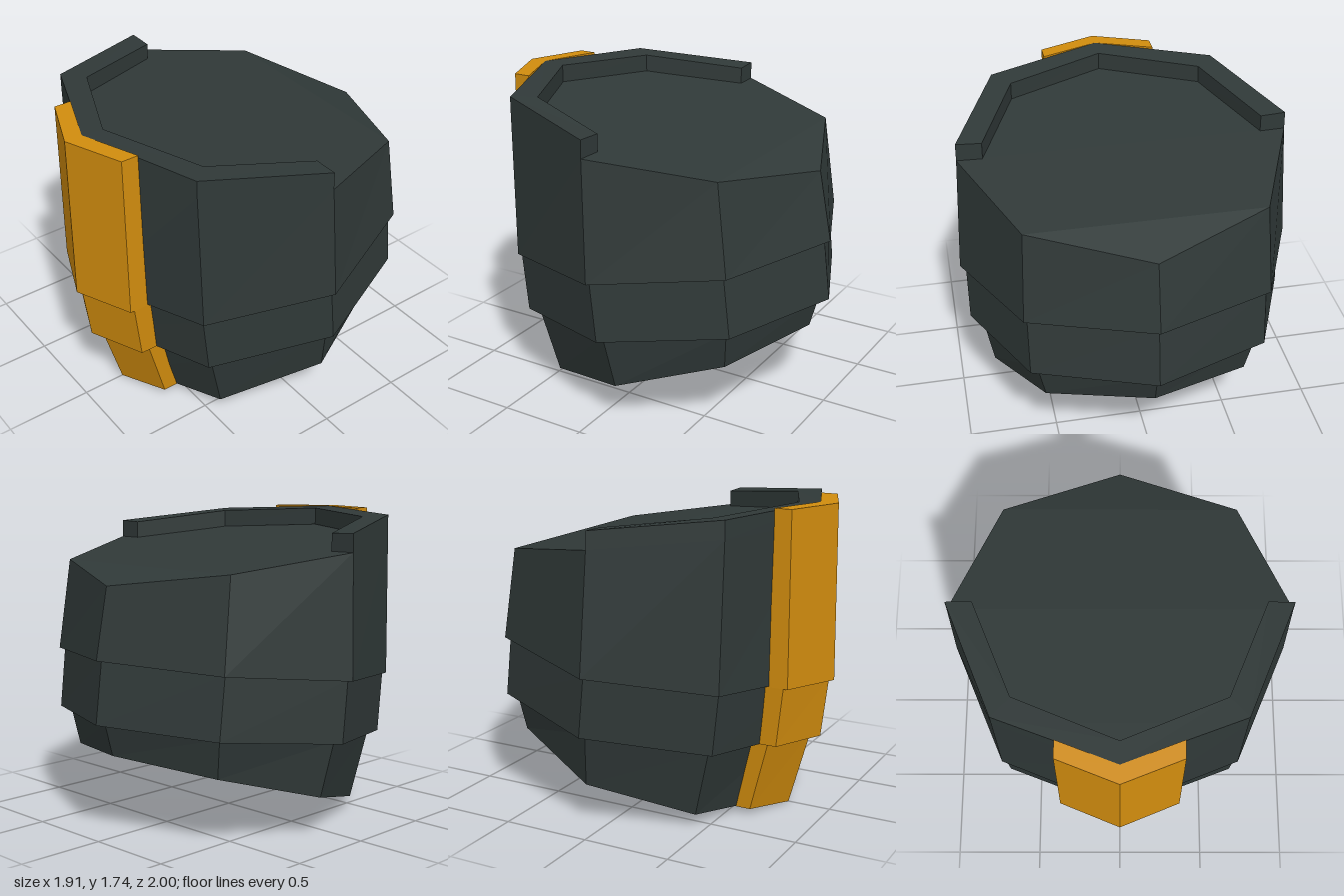
import * as THREE from 'three';

const dark = new THREE.MeshStandardMaterial({ color: 0x303938 });
dark.name = 'charcoal';
const amber = new THREE.MeshStandardMaterial({ color: 0xd18c0e });
amber.name = 'amber';

// Flat-shaded solid between two matching rings (counter-clockwise from above)
function loft(name, lower, upper, caps, material) {
  const pos = [];
  const face = (...p) => {
    for (let i = 1; i < p.length - 1; i++) pos.push(...p[0], ...p[i], ...p[i + 1]);
  };
  const n = lower.length;
  for (let i = 0; i < n; i++) {
    const j = (i + 1) % n;
    face(lower[i], lower[j], upper[j], upper[i]);
  }
  for (const c of caps) {
    face(...c.map((i) => upper[i]));
    face(...c.map((i) => lower[i]).reverse());
  }
  const g = new THREE.BufferGeometry();
  g.setAttribute('position', new THREE.Float32BufferAttribute(pos, 3));
  g.computeVertexNormals();
  const mesh = new THREE.Mesh(g, material);
  mesh.name = name;
  return mesh;
}

const flip = ([x, y, z]) => [-x, y, z];

// Octagon from five points: front, front diagonal, side, back diagonal, back
const octagon = (h) => [...h, ...h.slice(1, 4).reverse().map(flip)];
const octagonCaps = [[0, 1, 7], [1, 2, 6, 7], [2, 3, 5, 6], [3, 4, 5]];

// Symmetric curved band, outer and inner edges given from the centre outwards
const across = (h) => [...h.slice(1).reverse().map(flip), ...h];
const band = (outer, inner) => [...across(outer), ...across(inner).reverse()];
function bandCaps(n) {
  const caps = [];
  for (let i = 0; i < n / 2 - 1; i++) caps.push([i, i + 1, n - 2 - i, n - 1 - i]);
  return caps;
}

export function createModel() {
  const model = new THREE.Group();
  model.name = 'octagonalBarrel';

  // Three stacked tapering body sections, bottom to top
  const sections = {
    lowerBody: [
      [[0, 0.005, 0.66], [0.57, 0.07, 0.44], [0.805, 0.225, -0.11], [0.57, 0.388, -0.66], [0, 0.455, -0.89]],
      [[0, 0.44, 0.765], [0.615, 0.465, 0.54], [0.865, 0.54, -0.075], [0.615, 0.615, -0.69], [0, 0.64, -0.94]],
    ],
    middleBody: [
      [[0, 0.43, 0.825], [0.655, 0.46, 0.58], [0.925, 0.535, -0.075], [0.655, 0.61, -0.73], [0, 0.64, -1]],
      [[0, 0.775, 0.865], [0.655, 0.805, 0.615], [0.925, 0.88, -0.04], [0.655, 0.955, -0.69], [0, 0.985, -0.955]],
    ],
    upperBody: [
      [[0, 0.77, 0.89], [0.675, 0.8, 0.625], [0.957, 0.875, -0.04], [0.675, 0.95, -0.715], [0, 0.985, -0.99]],
      [[0, 1.64, 0.89], [0.655, 1.615, 0.64], [0.922, 1.55, -0.01], [0.65, 1.46, -0.645], [0, 1.375, -0.912]],
    ],
  };
  for (const [name, [low, high]] of Object.entries(sections)) {
    model.add(loft(name, octagon(low), octagon(high), octagonCaps, dark));
  }

  // Raised rim round the front half of the top
  const rimOuter = [[0, 1.64, 0.89], [0.655, 1.615, 0.64], [0.922, 1.55, -0.01]];
  const rimInner = [[0, 1.63, 0.765], [0.555, 1.605, 0.53], [0.78, 1.545, -0.015]];
  const raise = (pts) => pts.map(([x, y, z]) => [x * 0.998, y + 0.1, z]);
  model.add(loft('frontRim', band(rimOuter, rimInner),
    band(raise(rimOuter), raise(rimInner)), bandCaps(10), dark));

  // Angled stripe plates: [half width, y centre, y side, z outer centre, z outer side, z inner centre, z inner side]
  const stripeRing = ([w, yc, ys, oc, os, ic, is]) =>
    band([[0, yc, oc], [w, ys, os]], [[0, yc, ic], [w, ys, is]]);
  const stripes = {
    lowerStripe: [[0.285, 0, 0.035, 0.75, 0.635, 0.66, 0.55], [0.305, 0.435, 0.448, 0.87, 0.745, 0.765, 0.65]],
    middleStripe: [[0.325, 0.43, 0.445, 0.93, 0.8, 0.825, 0.7], [0.335, 0.772, 0.785, 0.97, 0.84, 0.865, 0.735]],
    upperStripe: [[0.338, 0.765, 0.78, 1, 0.865, 0.89, 0.755], [0.328, 1.74, 1.74, 0.99, 0.86, 0.89, 0.763]],
  };
  for (const [name, [low, high]] of Object.entries(stripes)) {
    model.add(loft(name, stripeRing(low), stripeRing(high), bandCaps(6), amber));
  }
  return model;
}
